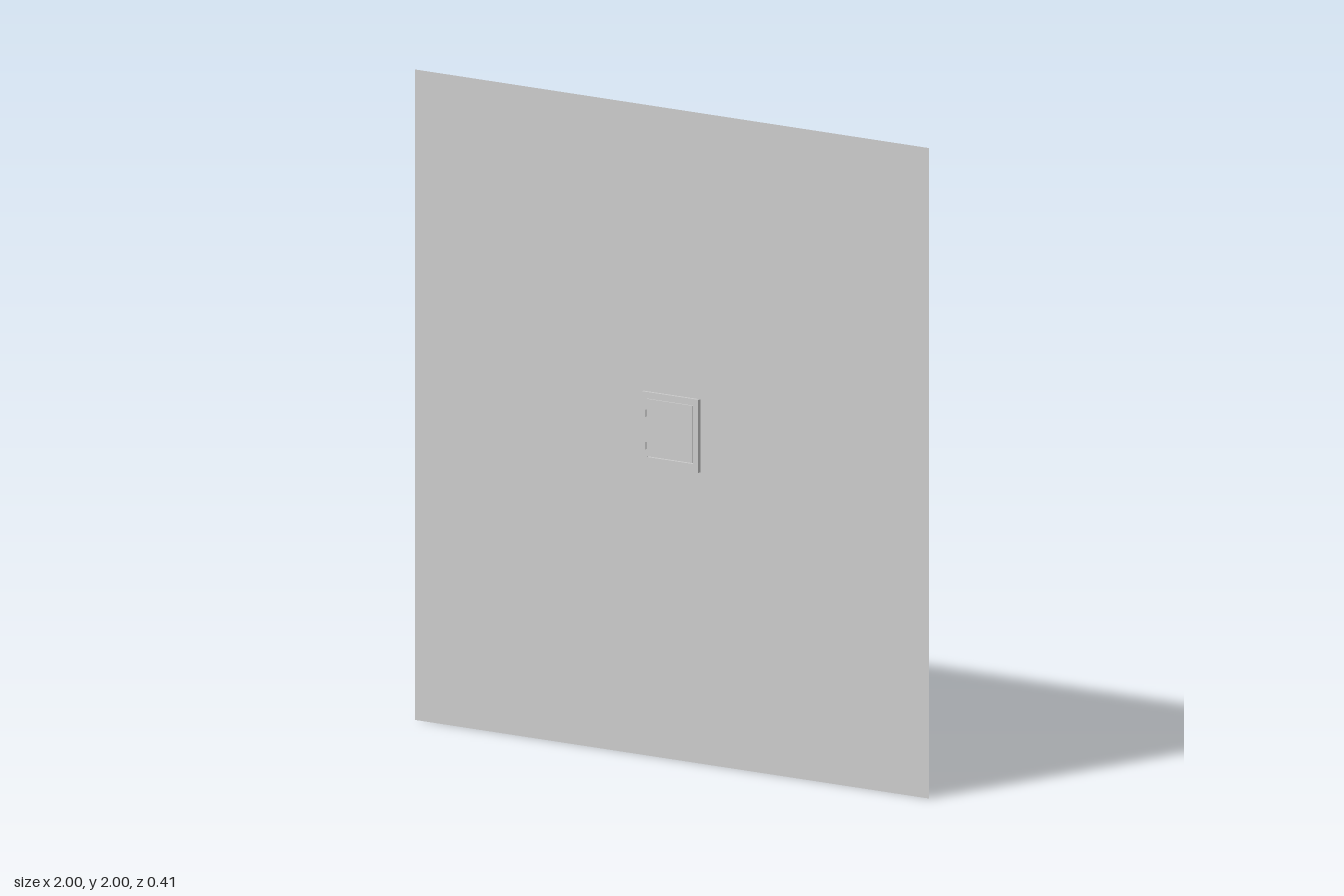
import * as THREE from 'three';

const material = new THREE.MeshStandardMaterial({ color: 0xcccccc, side: THREE.DoubleSide });

// Opening shared by wall, frame, passage and room
const HALF = 0.09, FLOOR = 0.92, TOP = 1.1;
const WALL_Z = 0.19, ROOM_FRONT = 0.091, ROOM_BACK = -0.202;

function add(parent, name, geometry, x = 0, y = 0, z = 0) {
  const mesh = new THREE.Mesh(geometry, material);
  mesh.name = name;
  mesh.position.set(x, y, z);
  parent.add(mesh);
  return mesh;
}

// Rectangle outline given by its corners
function rect(x0, y0, x1, y1, Type = THREE.Shape) {
  return new Type([[x0, y0], [x1, y0], [x1, y1], [x0, y1]].map(([x, y]) => new THREE.Vector2(x, y)));
}

// Rectangle pierced by the opening
function pierced(x0, y0, x1, y1) {
  const shape = rect(x0, y0, x1, y1);
  shape.holes.push(rect(-HALF, FLOOR, HALF, TOP, THREE.Path));
  return shape;
}

// Box with some faces left out (0..5 = +x, -x, +y, -y, +z, -z)
function openBox(w, h, d, skip) {
  const geometry = new THREE.BoxGeometry(w, h, d);
  const index = Array.from(geometry.index.array);
  geometry.setIndex(index.filter((_, i) => !skip.includes(Math.floor(i / 6))));
  geometry.clearGroups();
  return geometry;
}

export function createModel() {
  const model = new THREE.Group();
  model.name = 'wallWithHiddenRoom';

  // Large thin wall
  add(model, 'wall', new THREE.ShapeGeometry(pierced(-1, 0, 1, 2)), 0, 0, WALL_Z);

  // Small square door frame on the wall
  const frame = new THREE.ExtrudeGeometry(pierced(-0.11, 0.895, 0.11, 1.12), { depth: 0.01, bevelEnabled: false });
  add(model, 'doorFrame', frame, 0, 0, WALL_Z);

  // Door, slightly proud of its frame, with two hinges
  const door = new THREE.Group();
  door.name = 'door';
  model.add(door);
  add(door, 'doorPanel', new THREE.BoxGeometry(2 * HALF - 0.002, TOP - FLOOR - 0.004, 0.009),
    0, (TOP + FLOOR) / 2 + 0.001, 0.197);
  for (const y of [0.955, 1.055]) {
    add(door, 'hinge', new THREE.BoxGeometry(0.006, 0.022, 0.005), -HALF - 0.004, y, 0.2015);
  }

  // Short passage, open at both ends
  const depth = WALL_Z - ROOM_FRONT;
  add(model, 'passage', openBox(2 * HALF, TOP - FLOOR, depth, [4, 5]),
    0, (TOP + FLOOR) / 2, ROOM_FRONT + depth / 2);

  // Room behind, with its front wall notched for the passage
  const halfRoom = 0.378, ceiling = 1.31, roomDepth = ROOM_FRONT - ROOM_BACK;
  const room = new THREE.Group();
  room.name = 'room';
  model.add(room);
  add(room, 'roomShell', openBox(2 * halfRoom, ceiling - FLOOR, roomDepth, [4]),
    0, (ceiling + FLOOR) / 2, (ROOM_FRONT + ROOM_BACK) / 2);
  const notched = new THREE.Shape([
    [-halfRoom, FLOOR], [-HALF, FLOOR], [-HALF, TOP], [HALF, TOP],
    [HALF, FLOOR], [halfRoom, FLOOR], [halfRoom, ceiling], [-halfRoom, ceiling],
  ].map(([x, y]) => new THREE.Vector2(x, y)));
  add(room, 'roomFrontWall', new THREE.ShapeGeometry(notched), 0, 0, ROOM_FRONT);

  return model;
}
